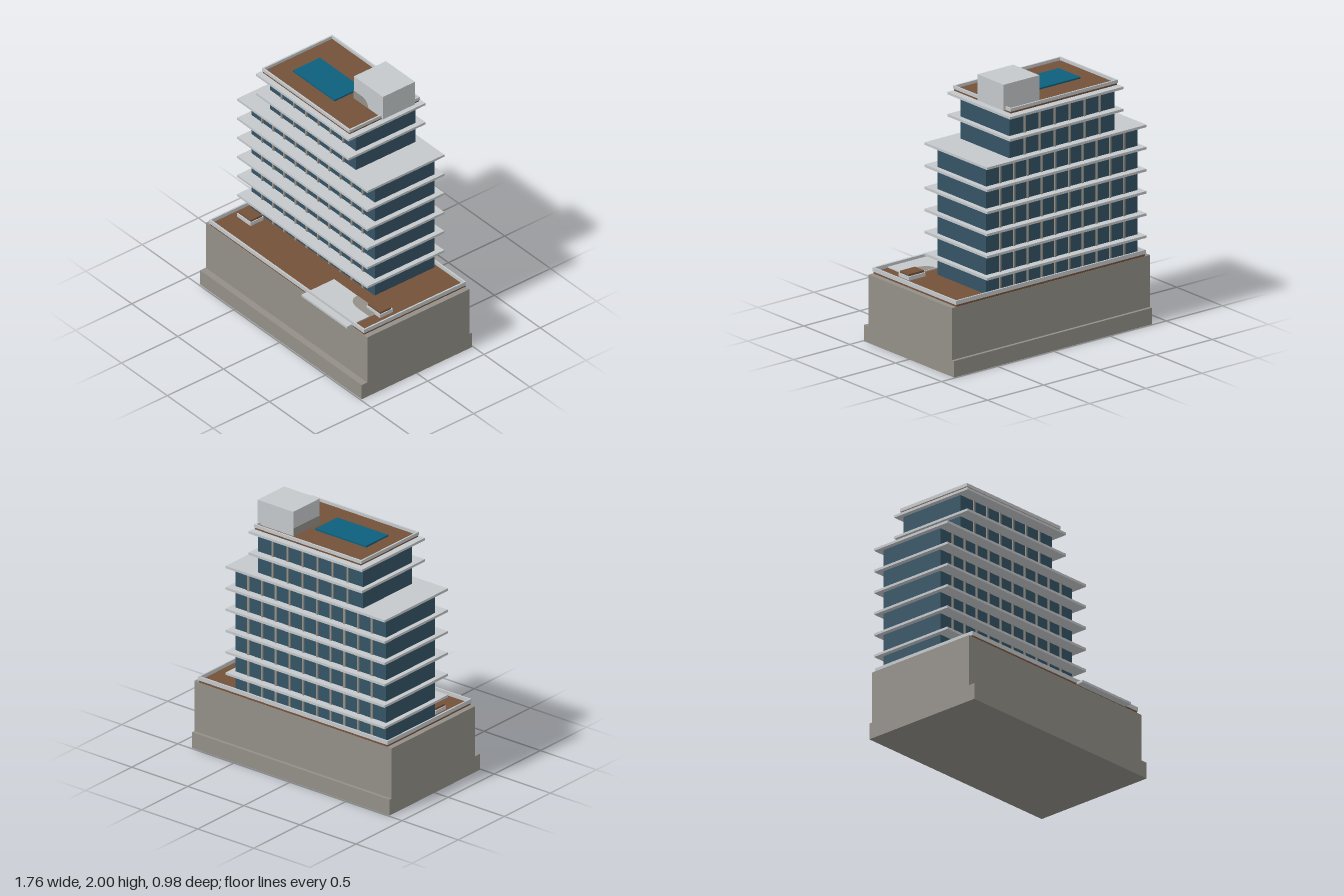
import * as THREE from 'three';

const mat = (name, color) => Object.assign(new THREE.MeshStandardMaterial({ color }), { name });

export function createModel() {
  const root = new THREE.Group();
  root.name = 'building';
  const concrete = mat('paleConcrete', 0xc4c8cb);
  const stone = mat('warmStone', 0x938f88);
  const wood = mat('woodDeck', 0x75523a);
  const glass = mat('blueGlass', 0x345365);
  const water = mat('poolWater', 0x0d5f7e);

  // Box given by its extents along each axis
  const box = (name, m, [x0, x1], [y0, y1], [z0, z1], parent = root) => {
    const mesh = new THREE.Mesh(new THREE.BoxGeometry(x1 - x0, y1 - y0, z1 - z0), m);
    mesh.position.set((x0 + x1) / 2, (y0 + y1) / 2, (z0 + z1) / 2);
    mesh.name = name;
    parent.add(mesh);
    return mesh;
  };

  // Parapet: four thin walls following a rectangle
  const parapet = (name, [x0, x1], y, [z0, z1], t = 0.012) => {
    const g = new THREE.Group();
    g.name = name;
    box('parapetWall', concrete, [x0, x1], y, [z0, z0 + t], g);
    box('parapetWall', concrete, [x0, x1], y, [z1 - t, z1], g);
    box('parapetWall', concrete, [x0, x0 + t], y, [z0 + t, z1 - t], g);
    box('parapetWall', concrete, [x1 - t, x1], y, [z0 + t, z1 - t], g);
    root.add(g);
  };

  // Podium with projecting plinth and terrace
  box('plinth', stone, [-0.88, 0.88], [0, 0.12], [-0.49, 0.49]);
  box('podium', stone, [-0.88, 0.88], [0.12, 0.5], [-0.467, 0.44]);
  box('terraceDeck', wood, [-0.84, 0.84], [0.5, 0.517], [-0.465, 0.435]);
  parapet('terraceParapet', [-0.845, 0.845], [0.515, 0.545], [-0.467, 0.44]);
  box('entranceCanopy', concrete, [0.225, 0.72], [0.508, 0.525], [0.2, 0.49]);

  // Terrace planters
  for (const x of [-0.708, 0.703]) {
    box('planterBase', concrete, [x - 0.073, x + 0.073], [0.517, 0.545], [0.127, 0.242]);
    box('planterTop', wood, [x - 0.067, x + 0.067], [0.545, 0.56], [0.137, 0.234]);
  }

  // Tower section: glass block with mullions on front and back
  const section = (name, [x0, x1], [y0, y1], bays) => {
    const g = new THREE.Group();
    g.name = name;
    box('glazing', glass, [x0, x1], [y0, y1], [-0.43, 0.1], g);
    for (let i = 1; i < bays; i++) {
      const x = x0 + ((x1 - x0) * i) / bays;
      for (const z of [-0.433, 0.103]) {
        box('mullion', stone, [x - 0.0075, x + 0.0075], [y0, y1], [z - 0.007, z + 0.007], g);
      }
    }
    root.add(g);
  };
  section('lowerTower', [-0.8, 0.545], [0.5, 1.455], 11);
  section('upperTower', [-0.595, 0.34], [1.46, 1.775], 7);

  // Projecting floor slabs, narrower for the top two floors
  for (let i = 0; i < 8; i++) {
    const y = 0.649 + i * 0.1615;
    box('floorSlab', concrete, i < 6 ? [-0.835, 0.583] : [-0.63, 0.378], [y - 0.009, y + 0.009], [-0.487, 0.197]);
  }

  // Roof terrace, pool and plant room
  box('roofSupport', concrete, [-0.5, 0.25], [1.785, 1.802], [-0.38, 0.08]);
  box('roofDeck', wood, [-0.597, 0.347], [1.8, 1.816], [-0.455, 0.163]);
  parapet('roofParapet', [-0.603, 0.352], [1.814, 1.838], [-0.459, 0.167]);
  box('pool', water, [-0.458, -0.003], [1.816, 1.828], [-0.23, 0.01]);
  box('plantRoom', concrete, [0.05, 0.367], [1.81, 2], [-0.403, -0.118]);

  // Rounded stone-coloured patches on the plant room and canopy
  const patch = (name, w, h, flat) => {
    const s = new THREE.Shape();
    s.moveTo(0, 0);
    s.lineTo(w, 0);
    s.quadraticCurveTo(w, h, flat, h);
    s.lineTo(0, h);
    const mesh = new THREE.Mesh(new THREE.ShapeGeometry(s), stone);
    mesh.name = name;
    root.add(mesh);
    return mesh;
  };
  patch('plantRoomFrontPatch', 0.16, 0.07, 0.07).position.set(0.05, 1.812, -0.116);
  box('plantRoomSidePatch', stone, [0.047, 0.05], [1.812, 1.875], [-0.403, -0.118]);
  const canopyPatch = patch('canopyPatch', 0.24, 0.095, 0.1);
  canopyPatch.rotation.set(Math.PI / 2, Math.PI, 0, 'YXZ');
  canopyPatch.rotation.set(-Math.PI / 2, 0, Math.PI);
  canopyPatch.scale.set(1, 1, 1);
  canopyPatch.position.set(0.72, 0.527, 0.2);

  return root;
}
